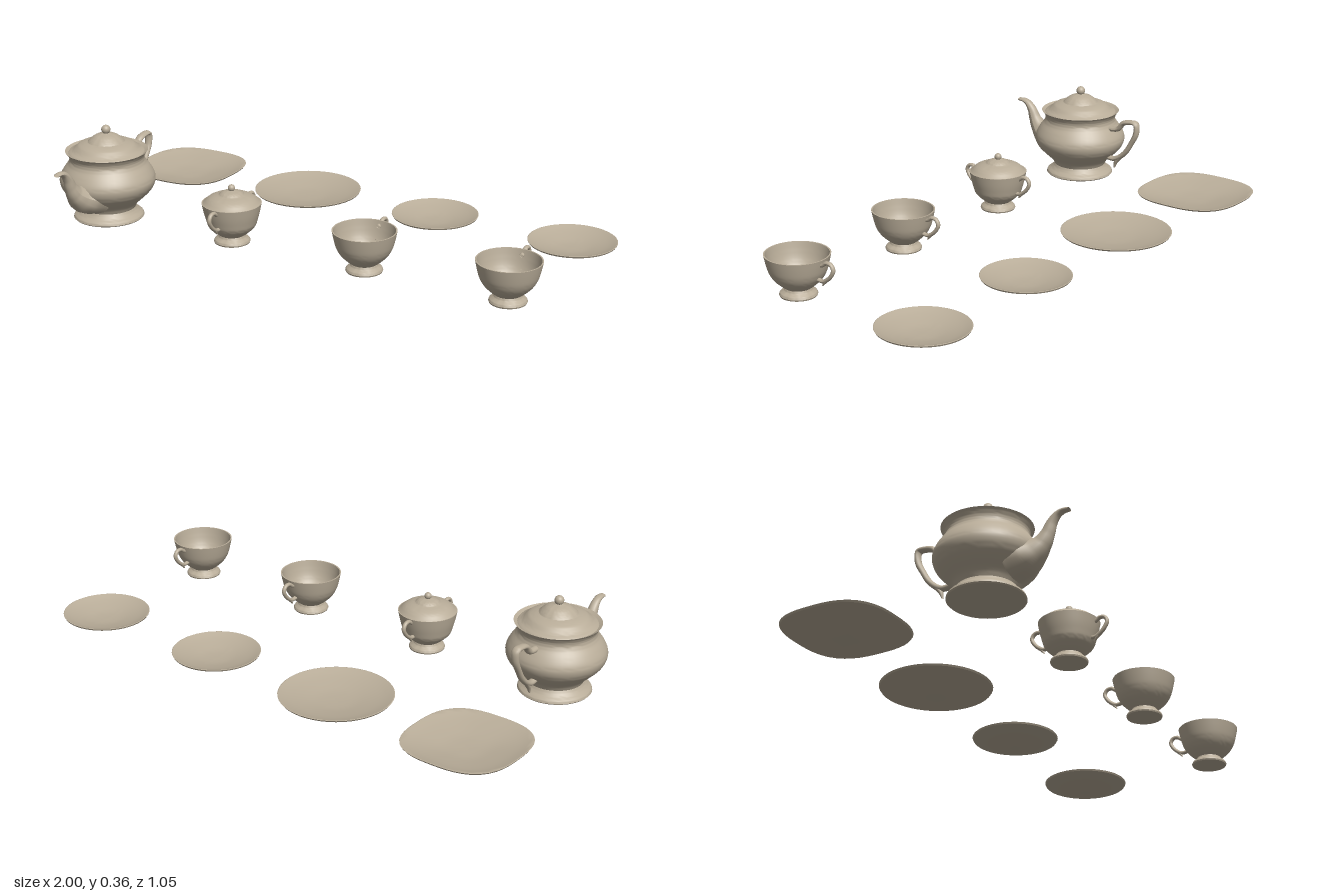
import * as THREE from 'three';
import { toCreasedNormals } from 'three/addons/utils/BufferGeometryUtils.js';

const china = new THREE.MeshStandardMaterial({ color: 0xb9ad99, side: THREE.DoubleSide });
china.name = 'stoneware';

function mesh(name, geometry, parent) {
  const m = new THREE.Mesh(geometry, china);
  m.name = name;
  parent.add(m);
  return m;
}

function group(name, x, z, parent) {
  const g = new THREE.Group();
  g.name = name;
  g.position.set(x, 0, z);
  parent.add(g);
  return g;
}

// Turned part from [radius, height] pairs; runs are smoothed by a spline
function turned(...runs) {
  const pts = [];
  for (const run of runs) {
    const v = run.map(([r, y]) => new THREE.Vector2(r, y));
    pts.push(...(v.length > 2 ? new THREE.SplineCurve(v).getPoints(v.length * 3) : v));
  }
  pts.forEach((p) => { p.x = Math.max(p.x, 0); });
  const clean = pts.filter((p, i) => i === 0 || p.distanceTo(pts[i - 1]) > 1e-5);
  return new THREE.LatheGeometry(clean, 48);
}

const creased = (g, angle = 0.6) => toCreasedNormals(g, angle);

// Tapering tube in the yz plane; each stop is [z, y, thickness, width]
function taperedTube(stops, segments = 40) {
  const curve = new THREE.CatmullRomCurve3(stops.map(([z, y]) => new THREE.Vector3(0, y, z)), false, 'centripetal');
  const sides = 14;
  const g = new THREE.TubeGeometry(curve, segments, 1, sides);
  const pos = g.attributes.position;
  for (let i = 0; i <= segments; i++) {
    const u = i / segments;
    const c = curve.getPointAt(u);
    const t = curve.getUtoTmapping(u) * (stops.length - 1);
    const k = Math.min(Math.floor(t), stops.length - 2);
    const thick = THREE.MathUtils.lerp(stops[k][2], stops[k + 1][2], t - k);
    const wide = THREE.MathUtils.lerp(stops[k][3], stops[k + 1][3], t - k);
    for (let j = 0; j <= sides; j++) {
      const n = i * (sides + 1) + j;
      pos.setXYZ(n, pos.getX(n) * wide,
        c.y + (pos.getY(n) - c.y) * thick, c.z + (pos.getZ(n) - c.z) * thick);
    }
  }
  g.computeVertexNormals();
  return g;
}

function knob(parent, y, r) {
  mesh('lidKnob', new THREE.SphereGeometry(r, 24, 16), parent).position.y = y;
}

// Ear-shaped handle reaching towards -z
function earHandle(parent, shift, turn) {
  const ear = new THREE.Group();
  ear.name = 'handle';
  ear.rotation.y = turn;
  parent.add(ear);
  const s = (d, y, t = 0.007, w = 0.008) => [-(d - shift), y, t, w];
  mesh('handleLoop', taperedTube([
    s(0.1, 0.137), s(0.117, 0.143), s(0.132, 0.153), s(0.152, 0.151), s(0.162, 0.134),
    s(0.152, 0.112), s(0.134, 0.094), s(0.115, 0.084), s(0.088, 0.086)]), ear);
  mesh('handleSpur', taperedTube([
    s(0.138, 0.098, 0.006, 0.007), s(0.123, 0.083, 0.006, 0.007), s(0.113, 0.069, 0.002, 0.003)], 12), ear);
}

// Footed bowl, hollow inside
function bowl(name, parent, rim) {
  const k = rim / 0.114;
  mesh(name, creased(turned(
    [[0, 0.008], [0.064, 0.008]],
    [[0.066, 0.013], [0.062, 0.021], [0.05, 0.029], [0.046, 0.037]],
    [[0.046, 0.037], [0.063, 0.05], [0.085, 0.072], [0.099 * k, 0.097], [0.107 * k, 0.125], [rim, 0.158]],
    [[rim - 0.005, 0.158], [rim - 0.012, 0.125], [0.093 * k, 0.097], [0.08, 0.075], [0.055, 0.053], [0.03, 0.046], [0, 0.045]]
  )), parent);
}

// Shallow dish, rounded towards a square when power is above 2
function dish(name, x, radius, parent, power = 2) {
  const r = radius;
  const g = turned(
    [[0, 0], [0.27 * r, 0]],
    [[0.27 * r, 0], [0.98 * r, 0.034]],
    [[r, 0.04], [0.985 * r, 0.041]],
    [[0.985 * r, 0.041], [0.8 * r, 0.03], [0.55 * r, 0.02], [0.3 * r, 0.013], [0, 0.011]]);
  const pos = g.attributes.position;
  for (let i = 0; i < pos.count; i++) {
    const a = Math.atan2(pos.getZ(i), pos.getX(i));
    const f = (Math.abs(Math.cos(a)) ** power + Math.abs(Math.sin(a)) ** power) ** (-1 / power);
    pos.setX(i, pos.getX(i) * f);
    pos.setZ(i, pos.getZ(i) * f);
  }
  g.computeVertexNormals();
  mesh(name, creased(g), group(name + 'Place', x, -0.325, parent));
}

export function createModel() {
  const set = new THREE.Group();
  set.name = 'teaSet';

  // Teapot
  const pot = group('teapot', -0.797, 0.222, set);
  mesh('teapotBody', creased(turned(
    [[0, 0.008], [0.127, 0.008]],
    [[0.131, 0.012], [0.127, 0.021], [0.109, 0.034], [0.1, 0.048]],
    [[0.1, 0.048], [0.112, 0.068], [0.141, 0.095], [0.166, 0.122], [0.177, 0.15], [0.174, 0.174],
      [0.16, 0.2], [0.145, 0.22], [0.138, 0.236]],
    [[0.138, 0.236], [0.142, 0.253], [0.153, 0.268]],
    [[0.153, 0.268], [0.136, 0.26]]
  )), pot);
  mesh('teapotLid', creased(turned(
    [[0.142, 0.26], [0.137, 0.266]],
    [[0.137, 0.266], [0.123, 0.273], [0.105, 0.289], [0.085, 0.297], [0.068, 0.301]],
    [[0.068, 0.301], [0.056, 0.313], [0.038, 0.325], [0.014, 0.331]],
    [[0.01, 0.334], [0.01, 0.346]]
  )), pot);
  knob(pot, 0.346, 0.017);
  mesh('spout', taperedTube([
    [0.1, 0.118, 0.068, 0.09], [0.148, 0.124, 0.057, 0.07], [0.178, 0.138, 0.046, 0.048],
    [0.205, 0.16, 0.033, 0.031], [0.225, 0.19, 0.024, 0.022], [0.24, 0.224, 0.018, 0.018],
    [0.26, 0.248, 0.012, 0.015], [0.28, 0.257, 0.008, 0.014], [0.303, 0.257, 0.006, 0.012]], 48), pot);
  mesh('handleLoop', taperedTube([
    [-0.14, 0.215, 0.011, 0.014], [-0.183, 0.222, 0.01, 0.014], [-0.207, 0.249, 0.01, 0.015],
    [-0.238, 0.258, 0.009, 0.016], [-0.266, 0.256, 0.009, 0.016], [-0.267, 0.217, 0.011, 0.014],
    [-0.245, 0.172, 0.01, 0.013], [-0.222, 0.135, 0.01, 0.013], [-0.192, 0.107, 0.01, 0.013],
    [-0.165, 0.095, 0.01, 0.013], [-0.12, 0.1, 0.01, 0.013]], 60), pot);
  mesh('handleSpur', taperedTube([
    [-0.195, 0.108, 0.009, 0.011], [-0.176, 0.085, 0.008, 0.01], [-0.168, 0.06, 0.003, 0.004]], 12), pot);

  // Sugar bowl with a handle on either side
  const sugar = group('sugarBowl', -0.255, 0.218, set);
  bowl('sugarBowlBody', sugar, 0.108);
  mesh('sugarBowlLid', creased(turned(
    [[0.106, 0.157], [0.1, 0.162]],
    [[0.1, 0.162], [0.085, 0.175], [0.066, 0.184], [0.046, 0.189]],
    [[0.046, 0.189], [0.034, 0.198], [0.012, 0.203]],
    [[0.008, 0.205], [0.008, 0.213]]
  )), sugar);
  knob(sugar, 0.213, 0.013);
  for (const turn of [0, Math.PI]) earHandle(sugar, 0.014, turn);

  // Two cups, handles to the back
  for (const x of [0.29, 0.835]) {
    const cup = group('cup', x, 0.224, set);
    bowl('cupBody', cup, 0.114);
    earHandle(cup, 0, 0);
  }

  // Plates and saucers
  dish('squarePlate', -0.797, 0.203, set, 2.8);
  dish('roundPlate', -0.255, 0.203, set);
  for (const x of [0.29, 0.837]) dish('saucer', x, 0.161, set);

  return set;
}
